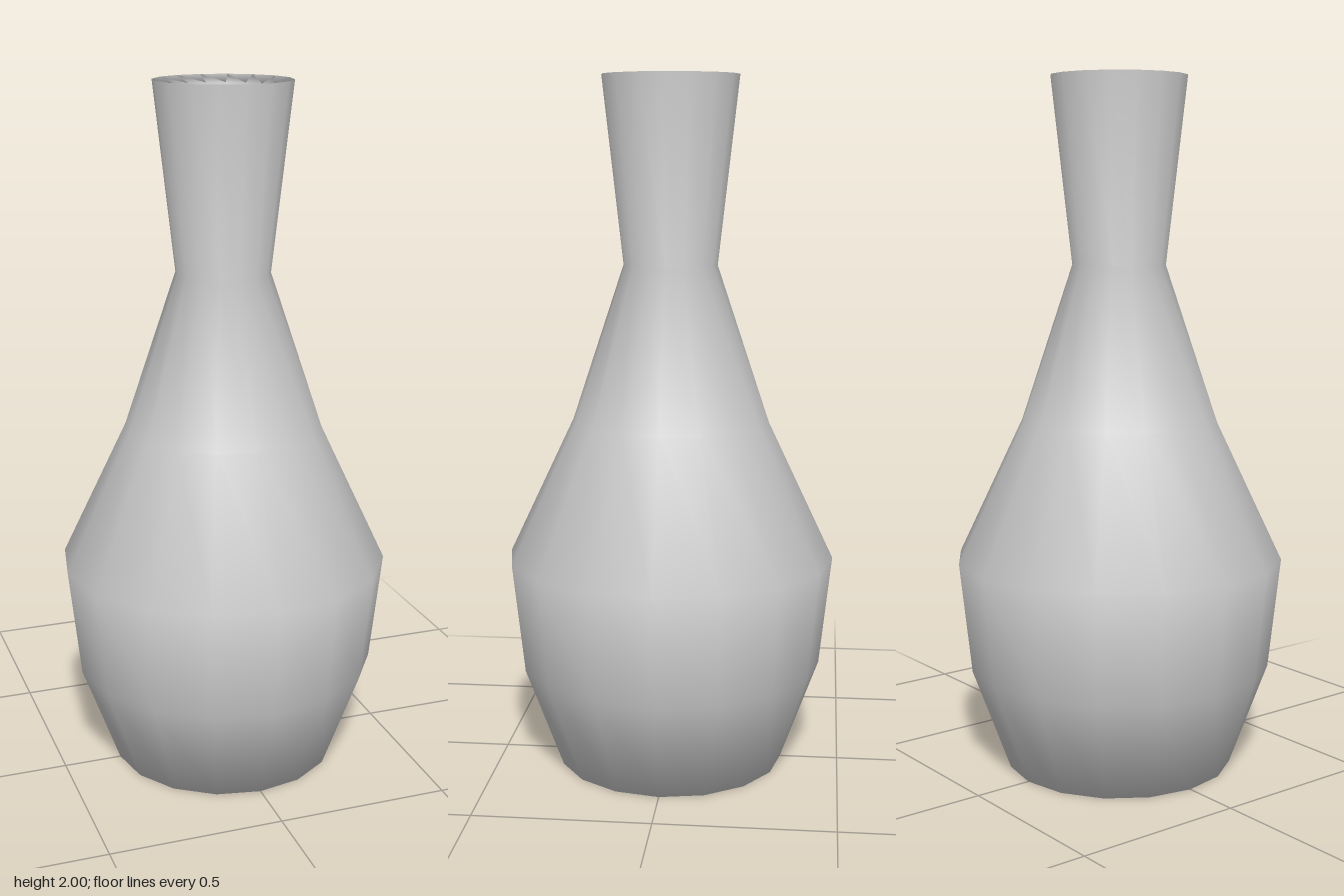
import * as THREE from 'three';

const SIDES = 16;

export function createModel() {
  const group = new THREE.Group();
  group.name = 'vase';
  const material = new THREE.MeshStandardMaterial({ color: 0xcccccc, side: THREE.DoubleSide });

  // Closed profile: base, belly, shoulder, neck, lip, then the hollow of the neck
  const profile = [
    [0, 0], [0.33, 0], [0.44, 0.3], [0.475, 0.62], [0.285, 1.02], [0.135, 1.47],
    [0.195, 2], [0.145, 1.98], [0.11, 1.48], [0, 1.45],
  ].map(([r, y]) => new THREE.Vector2(r, y));

  const body = new THREE.Mesh(new THREE.LatheGeometry(profile, SIDES), material);
  body.name = 'vaseBody';
  group.add(body);
  return group;
}
